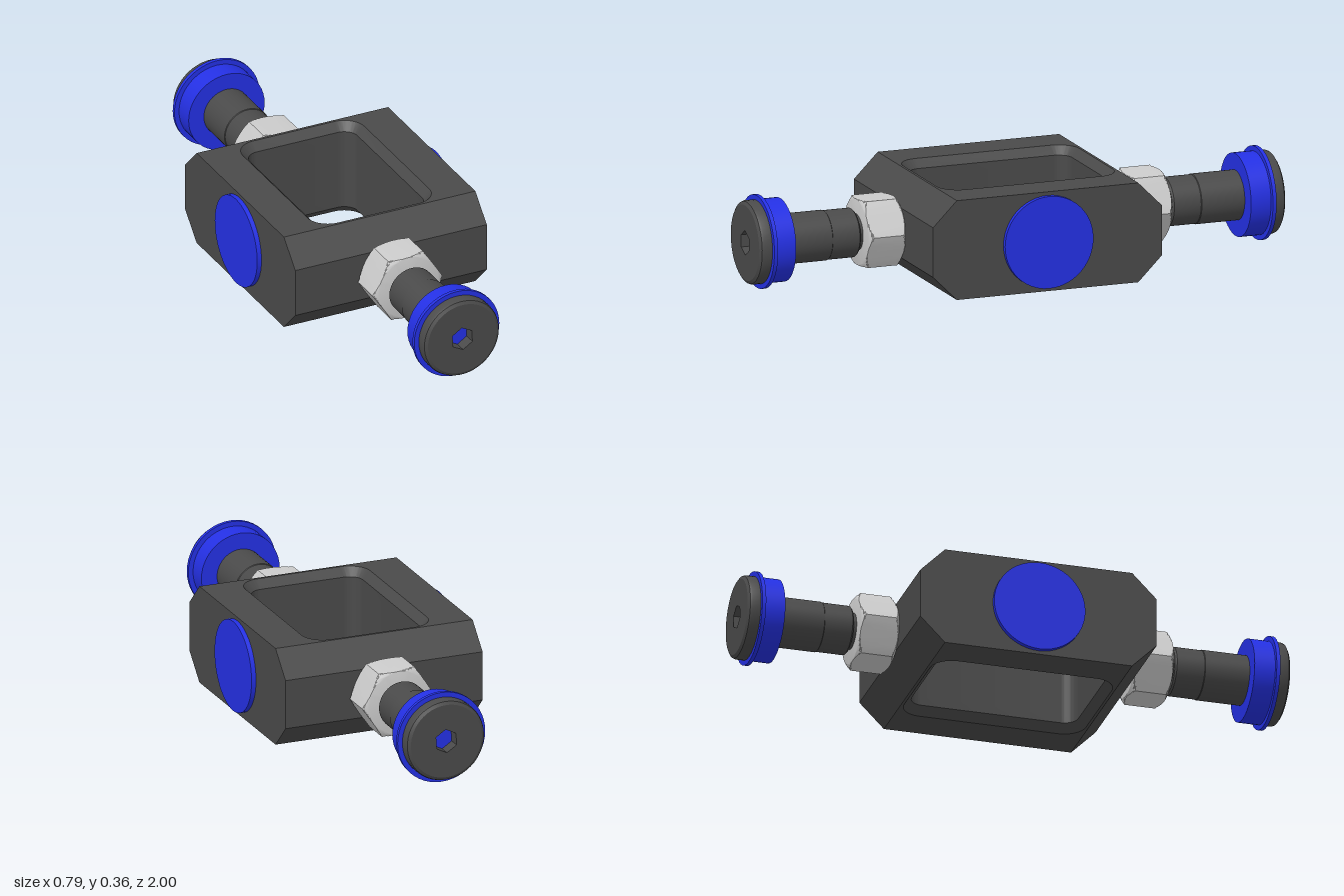
import * as THREE from 'three';
import { toCreasedNormals } from 'three/addons/utils/BufferGeometryUtils.js';

const H = 0.362; // body height
const CY = H / 2; // height of the arm axis
const TILT = 0.055; // slight turn of the nut and socket

const material = (color) => new THREE.MeshStandardMaterial({ color });
const dark = material(0x4a4a4a);
const blue = material(0x2430e4);
const silver = material(0xcccccc);

function part(name, geometry, mat) {
  const mesh = new THREE.Mesh(toCreasedNormals(geometry, 0.4), mat);
  mesh.name = name;
  return mesh;
}

// Radius of a hexagon with corner radius R in direction a
function hexRadius(a, R, offset) {
  const step = Math.PI / 3;
  const t = (((a - offset) % step) + step) % step;
  return (R * Math.cos(step / 2)) / Math.cos(t - step / 2);
}

// Turned profile of [radius, z] along +z, with an optional radius rule
function turned(profile, rule) {
  const g = new THREE.LatheGeometry(profile.map(([r, z]) => new THREE.Vector2(r, z)), 48);
  g.rotateX(Math.PI / 2);
  if (rule) {
    const p = g.attributes.position;
    for (let i = 0; i < p.count; i++) {
      const a = Math.atan2(p.getY(i), p.getX(i));
      const r = rule(Math.hypot(p.getX(i), p.getY(i)), a);
      p.setXY(i, r * Math.cos(a), r * Math.sin(a));
    }
  }
  return g;
}

// Rounded rectangle with half sizes w, h
function roundedRect(w, h, r) {
  const s = new THREE.Path();
  s.moveTo(w, -h + r);
  s.absarc(w - r, h - r, r, 0, Math.PI / 2);
  s.absarc(-w + r, h - r, r, Math.PI / 2, Math.PI);
  s.absarc(-w + r, -h + r, r, Math.PI, Math.PI * 1.5);
  s.absarc(w - r, -h + r, r, Math.PI * 1.5, Math.PI * 2);
  return s;
}

// Frame: ends chamfered outside, window chamfered at top and bottom
function bodyGeometry() {
  const W = 0.378, capZ = 0.345, hw = 0.24, hh = 0.335, r = 0.08, inset = 0.028;
  const shape = new THREE.Shape([
    new THREE.Vector2(-W, -capZ), new THREE.Vector2(W, -capZ),
    new THREE.Vector2(W, capZ), new THREE.Vector2(-W, capZ),
  ]);
  shape.holes.push(roundedRect(hw, hh, r));
  const g = new THREE.ExtrudeGeometry(shape, {
    depth: H, steps: 12, bevelEnabled: false, curveSegments: 10,
  });
  const p = g.attributes.position;
  for (let i = 0; i < p.count; i++) {
    const x = p.getX(i), y = p.getY(i), z = p.getZ(i);
    const d = Math.min(z, H - z); // distance to the nearer cap
    if (Math.abs(x) < hw + 0.001 && Math.abs(y) < hh + 0.001) {
      const cx = Math.sign(x) * (hw - r), cy = Math.sign(y) * (hh - r);
      const k = 1 - Math.min(d, inset) / r;
      p.setXY(i, cx + (x - cx) * k, cy + (y - cy) * k);
    } else {
      p.setY(i, Math.sign(y) * (capZ + Math.min(d, H / 4)));
    }
  }
  return g.rotateX(-Math.PI / 2);
}

// One arm pointing along +z
function createArm() {
  const arm = new THREE.Group();

  const nutProfile = [[0, 0.43], [0.116, 0.435]];
  for (let i = 0; i <= 4; i++) nutProfile.push([0.12 + i * 0.0045, 0.438 + i * 0.003]);
  for (let i = 4; i >= 0; i--) nutProfile.push([0.12 + i * 0.0045, 0.576 - i * 0.003]);
  nutProfile.push([0.116, 0.577], [0, 0.577]);
  const nut = part('hexNut', turned(nutProfile, (r, a) => Math.min(r, hexRadius(a, 0.138, 0))), silver);
  nut.rotation.z = TILT;

  const shaft = part('shaft', turned([
    [0, 0.57], [0.066, 0.57], [0.066, 0.592], [0.082, 0.592], [0.088, 0.598],
    [0.088, 0.7], [0.09, 0.702], [0.09, 0.87], [0, 0.87],
  ]), dark);

  const collar = part('collar', turned([
    [0, 0.865], [0.15, 0.865], [0.15, 0.941], [0.168, 0.941], [0.168, 0.955], [0, 0.955],
  ]), blue);

  // Head with a hexagonal socket; the collar shows at its floor
  const head = part('socketHead', turned([
    [0.15, 0.953], [0.15, 0.985], [0.147, 0.993], [0.136, 1], [0.043, 1], [0.043, 0.953],
  ], (r, a) => (r < 0.05 ? hexRadius(a, 0.044, Math.PI / 6) : r)), dark);
  head.rotation.z = TILT;

  arm.add(nut, shaft, collar, head);
  return arm;
}

export function createModel() {
  const model = new THREE.Group();
  model.name = 'pivotBlock';
  model.add(part('frame', bodyGeometry(), dark));

  for (const [name, angle] of [['frontArm', 0], ['backArm', Math.PI]]) {
    const arm = createArm();
    arm.name = name;
    arm.position.y = CY;
    arm.rotation.y = angle;
    model.add(arm);
  }

  // Round caps on the two sides
  for (const [name, side] of [['leftCap', 1], ['rightCap', -1]]) {
    const cap = part(name, new THREE.CylinderGeometry(0.168, 0.168, 0.027, 48), blue);
    cap.rotation.z = Math.PI / 2;
    cap.position.set(side * 0.3815, CY, 0);
    model.add(cap);
  }
  return model;
}
